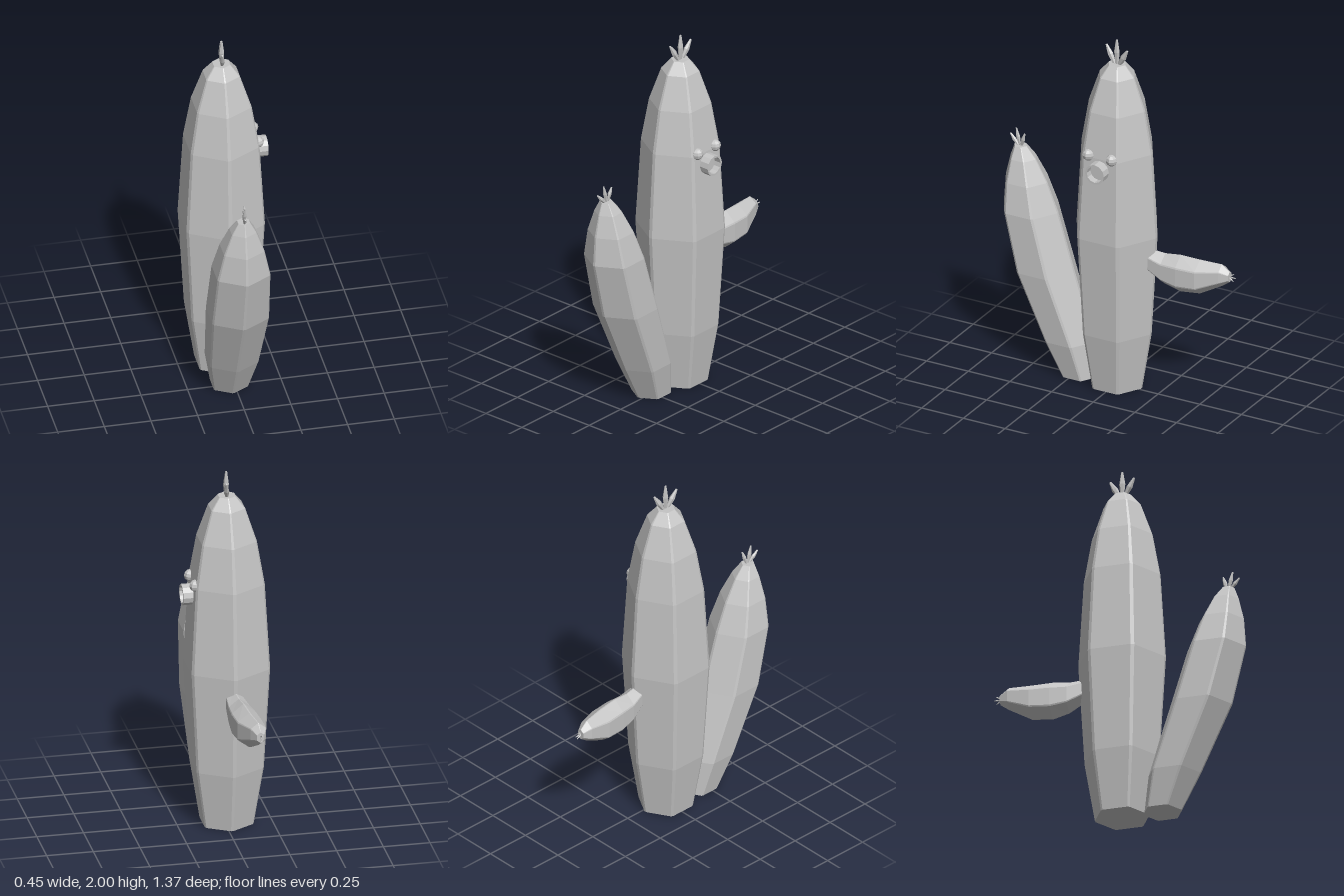
import * as THREE from 'three';

const V = (x, y, z) => new THREE.Vector3(x, y, z);
const X = V(1, 0, 0), Y = V(0, 1, 0), Z = V(0, 0, 1);

// Six-sided outline with narrowly trimmed corners, as [along u, along v]
const outline = [];
for (let i = 0; i < 6; i++) {
  const corner = k => [Math.cos(k * Math.PI / 3), Math.sin(k * Math.PI / 3)];
  const c = corner(i);
  for (const n of [corner(i - 1), corner(i + 1)]) {
    outline.push([c[0] + (n[0] - c[0]) * 0.05, c[1] + (n[1] - c[1]) * 0.05]);
  }
}

// Skin through rings [centre, u radius, v radius], closed at both ends
function loft(rings, u, v) {
  const pos = [], n = outline.length;
  const loops = rings.map(([c, ru, rv]) => outline.map(([a, b]) =>
    c.clone().addScaledVector(u, a * ru).addScaledVector(v, b * rv)));
  const tri = (...p) => p.forEach(q => pos.push(q.x, q.y, q.z));
  const last = rings.length - 1;
  for (let j = 0; j < n; j++) {
    const k = (j + 1) % n;
    for (let i = 0; i < last; i++) {
      const a = loops[i], b = loops[i + 1];
      tri(a[j], a[k], b[k]);
      tri(a[j], b[k], b[j]);
    }
    tri(rings[0][0], loops[0][k], loops[0][j]);
    tri(rings[last][0], loops[last][j], loops[last][k]);
  }
  const g = new THREE.BufferGeometry();
  g.setAttribute('position', new THREE.Float32BufferAttribute(pos, 3));
  g.computeVertexNormals();
  return g;
}

export function createModel() {
  const model = new THREE.Group();
  model.name = 'cactus';
  const grey = new THREE.MeshStandardMaterial({ color: 0xc4c4c4, flatShading: true });
  grey.name = 'plain grey';

  const add = (name, geometry, parent = model) => {
    const m = new THREE.Mesh(geometry, grey);
    m.name = name;
    parent.add(m);
    return m;
  };

  // Trunk: [y, radius]
  const trunk = [[0, 0.151], [0.33, 0.208], [0.9, 0.243], [1.38, 0.213],
    [1.62, 0.169], [1.8, 0.104], [1.863, 0.05]];
  add('trunk', loft(trunk.map(([y, r]) => [V(-0.017, y, 0.006), r, r]), Z, X));

  // Tall branch leaning forward: [y, z, radius]
  const tall = [[0, 0.23, 0.107], [0.2, 0.292, 0.15], [0.575, 0.437, 0.176],
    [0.9, 0.525, 0.164], [1.06, 0.552, 0.125], [1.18, 0.572, 0.076], [1.245, 0.588, 0.036]];
  add('tallBranch', loft(tall.map(([y, z, r]) => [V(-0.023, y, z), r, r]), Z, X));

  // Short branch pointing backward: [x, y, z, height radius, width radius]
  const short = [[-0.015, 0.765, -0.19, 0.065, 0.05], [-0.025, 0.73, -0.28, 0.09, 0.066],
    [-0.03, 0.722, -0.37, 0.108, 0.076], [-0.04, 0.724, -0.48, 0.1, 0.077],
    [-0.06, 0.752, -0.6, 0.064, 0.048], [-0.063, 0.75, -0.645, 0.03, 0.023]];
  add('shortBranch', loft(short.map(([x, y, z, h, w]) => [V(x, y, z), h, w]), Y, X));

  // Tufts of three tapered spikes
  const spike = new THREE.LatheGeometry([[0, 0], [0.009, 0], [0.017, 0.075],
    [0.006, 0.145], [0, 0.145]].map(p => new THREE.Vector2(...p)), 6);
  const tuft = (name, x, y, z, tilt, scale) => {
    const g = new THREE.Group();
    g.name = name;
    g.position.set(x, y, z);
    g.rotation.x = tilt;
    g.scale.setScalar(scale);
    for (const s of [-1, 0, 1]) {
      const m = add('spike', spike, g);
      m.position.z = s * 0.012;
      m.rotation.set(s * 0.52, 0, s * 0.1);
      m.scale.set(0.85, s ? 0.8 : 1, 1);
    }
    model.add(g);
  };
  tuft('trunkTuft', -0.015, 1.855, 0.006, 0, 1);
  tuft('tallBranchTuft', -0.02, 1.24, 0.59, 0.22, 0.7);
  tuft('shortBranchTuft', -0.063, 0.75, -0.64, -Math.PI / 2, 0.29);

  // Eyes on the +x side
  for (const s of [-1, 1]) {
    const eye = add(s > 0 ? 'frontEye' : 'backEye', new THREE.SphereGeometry(0.032, 8, 6));
    eye.position.set(0.165, 1.39, 0.007 + s * 0.07);
  }

  // Round hollow mouth
  const mouth = add('mouth', new THREE.LatheGeometry([[0.057, 0], [0.057, 0.075],
    [0.046, 0.075], [0.046, 0.035], [0, 0.035]].map(p => new THREE.Vector2(...p)), 12));
  mouth.position.set(0.15, 1.314, 0.007);
  mouth.rotation.z = -Math.PI / 2;

  return model;
}
